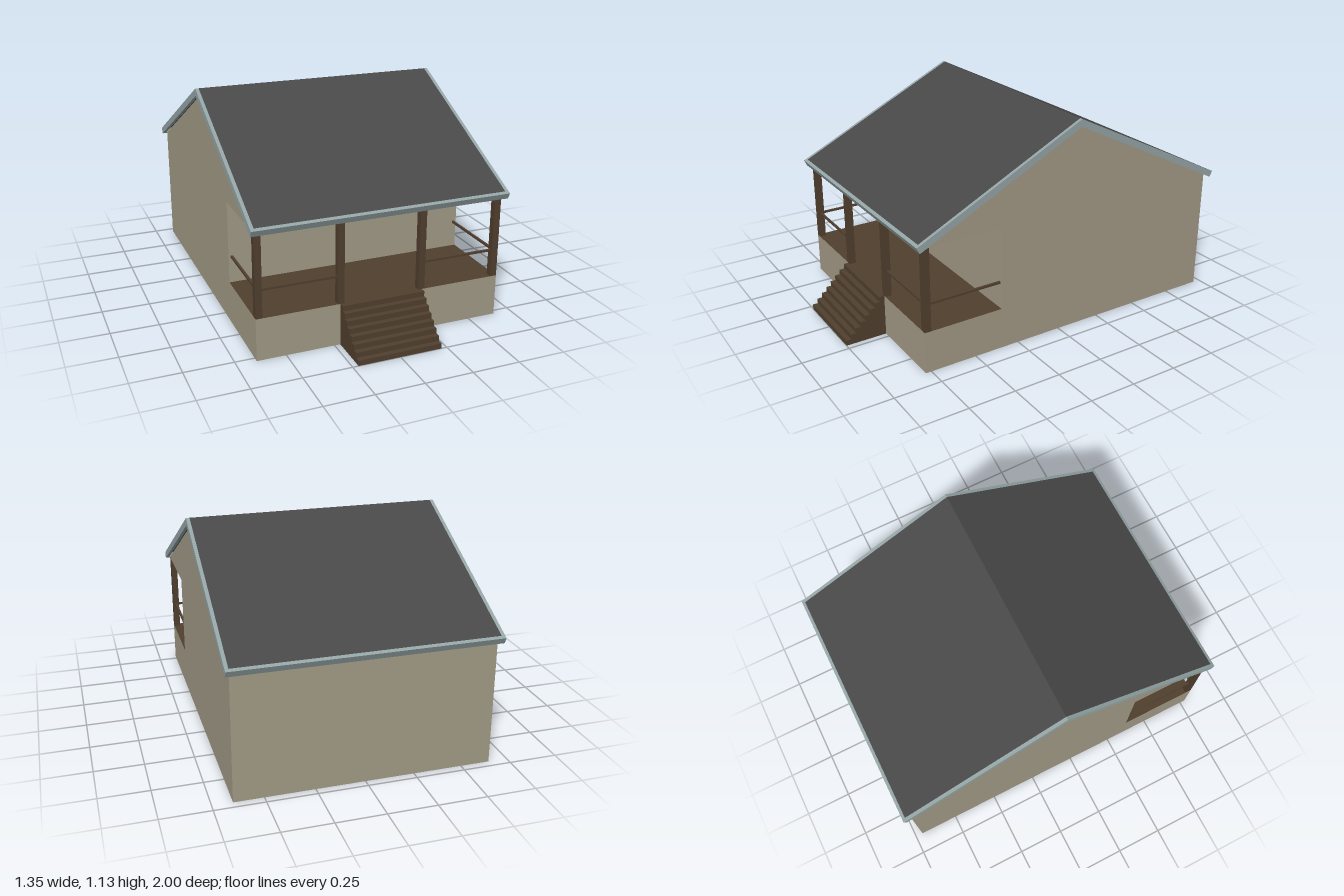
import * as THREE from 'three';

export function createModel() {
  const group = new THREE.Group();
  const mat = (color) => new THREE.MeshStandardMaterial({ color, side: THREE.DoubleSide, flatShading: true });
  const wall = mat(0xa29a86), wood = mat(0x503f2e), roof = mat(0x484848), trim = mat(0x94a4a5);

  const add = (name, geo, material, x = 0, y = 0, z = 0) => {
    const mesh = new THREE.Mesh(geo, material);
    mesh.name = name;
    mesh.position.set(x, y, z);
    group.add(mesh);
    return mesh;
  };
  const box = (name, material, x0, x1, y0, y1, z0, z1) =>
    add(name, new THREE.BoxGeometry(x1 - x0, y1 - y0, z1 - z0), material, (x0 + x1) / 2, (y0 + y1) / 2, (z0 + z1) / 2);
  // upright sheet facing front or back
  const upright = (name, material, w, y0, y1, z) =>
    add(name, new THREE.PlaneGeometry(w, y1 - y0), material, 0, (y0 + y1) / 2, z);
  // level sheet
  const level = (name, material, w, y, z0, z1) =>
    add(name, new THREE.PlaneGeometry(w, z1 - z0).rotateX(-Math.PI / 2), material, 0, y, (z0 + z1) / 2);
  // outlines are given as [z, y] and turned into the side plane
  const outline = (pts) => new THREE.Shape(pts.map(([z, y]) => new THREE.Vector2(z, y)));
  const sideSheet = (pts) => new THREE.ShapeGeometry(outline(pts)).rotateY(-Math.PI / 2);
  const sideSolid = (pts, width) =>
    new THREE.ExtrudeGeometry(outline(pts), { depth: width, bevelEnabled: false })
      .rotateY(-Math.PI / 2).translate(width / 2, 0, 0);

  const W = 0.65, front = 0.78, back = -0.96, recess = 0.35, deckY = 0.22, topY = 0.655;
  const ridgeZ = -0.09, ridgeY = 1.13;

  // house shell, open underneath, with a porch cut into the front
  const gable = [[back, 0], [front, 0], [front, deckY], [recess, deckY], [recess, topY],
    [front, topY], [front, 0.66], [ridgeZ, 1.091], [back, 0.66]];
  for (const s of [-1, 1]) add('sideWall', sideSheet(gable), wall, s * W);
  upright('backWall', wall, 2 * W, 0, 0.66, back);
  upright('porchSkirt', wall, 2 * W, 0, deckY, front);
  upright('porchWall', wall, 2 * W, deckY, topY, recess);
  level('porchDeck', wood, 2 * W, deckY, recess, front);
  level('porchCeiling', wood, 2 * W, topY, recess, front);

  // posts and rails
  for (const s of [-1, 1]) {
    for (const x of [0.633, 0.217])
      box('porchPost', wood, s * x - 0.017, s * x + 0.017, deckY, 0.66, 0.745, front);
    box('frontRail', wood, s * 0.425 - 0.2, s * 0.425 + 0.2, 0.355, 0.366, 0.757, 0.768);
    box('sideRail', wood, s * 0.633 - 0.006, s * 0.633 + 0.006, 0.355, 0.366, recess, 0.75);
  }

  // hollow stairs
  const steps = 8, run = (1 - front) / steps, rise = deckY / steps, stairW = 0.44;
  const profile = [[front, 0], [1, 0]];
  for (let i = 0; i < steps; i++) {
    const z = 1 - i * run, y = i * rise;
    profile.push([z, y + rise], [z - run, y + rise]);
    upright('stairRiser', wood, stairW, y, y + rise, z);
    level('stairTread', wood, stairW, y + rise, z - run, z);
  }
  for (const s of [-1, 1]) add('stairSide', sideSheet(profile), wood, s * stairW / 2);

  // roof: point at distance s down the slope and depth d below its surface
  const a = Math.atan(0.495), c = Math.cos(a), n = Math.sin(a), L = 0.91 / c;
  const at = (k, s, d) => [ridgeZ + k * (s * c - d * n), ridgeY - s * n - d * c];
  const chevron = (len, d) => [[ridgeZ, ridgeY], at(1, len, 0), at(1, len, d),
    [ridgeZ, ridgeY - d / c], at(-1, len, d), at(-1, len, 0)];
  const edge = 0.018, thick = 0.035, roofW = 0.655;
  add('roofSheet', sideSolid(chevron(L - edge, 0.006), 2 * roofW), roof);
  for (const s of [-1, 1]) {
    add('gableTrim', sideSolid(chevron(L, thick), edge), trim, s * (roofW + edge / 2));
    const board = [at(s, L - edge, 0), at(s, L, 0), at(s, L, thick), at(s, L - edge, thick)];
    add('eaveTrim', sideSolid(board, 2 * roofW), trim);
  }
  return group;
}
